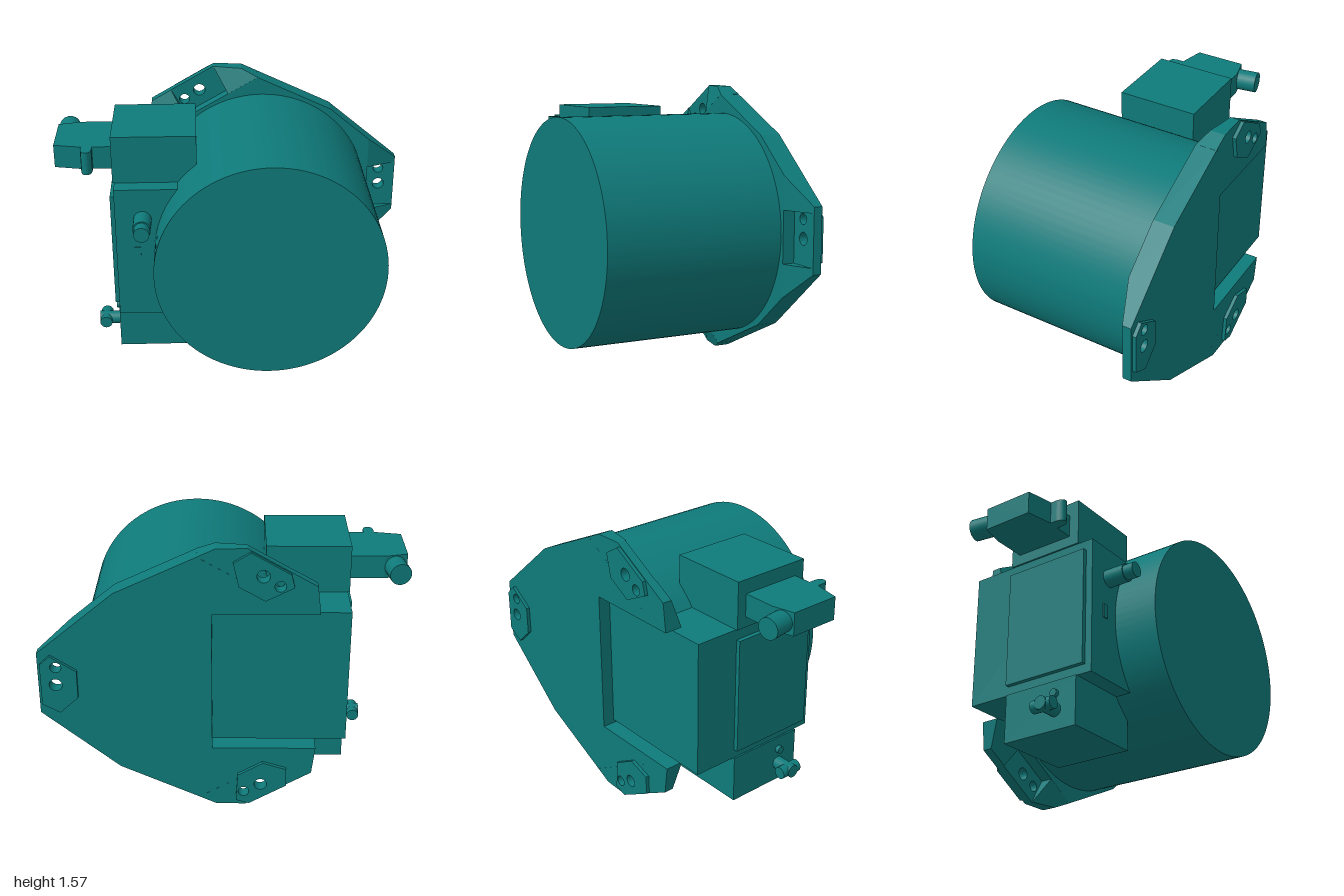
import * as THREE from 'three';

const AXIS = new THREE.Vector2(0.17, 0.79); // centre line of the drum
const BACK = -0.56, FRONT = -0.44;          // mounting plate faces
const CREASE = 0.65;                        // radius at which the lugs begin to slope

export function createModel() {
  const group = new THREE.Group();
  const material = new THREE.MeshStandardMaterial({ color: 0x0f7a7a });

  const add = (name, geometry, parent = group) => {
    const mesh = new THREE.Mesh(geometry, material);
    mesh.name = name;
    parent.add(mesh);
    return mesh;
  };
  // Box given by its limits
  const box = (name, x0, x1, y0, y1, z0, z1) =>
    add(name, new THREE.BoxGeometry(x1 - x0, y1 - y0, z1 - z0))
      .position.set((x0 + x1) / 2, (y0 + y1) / 2, (z0 + z1) / 2);
  // Cylinder between two points
  const rod = (name, a, b, radius, sides = 24) => {
    const from = new THREE.Vector3(...a), to = new THREE.Vector3(...b);
    const dir = to.clone().sub(from);
    const mesh = add(name, new THREE.CylinderGeometry(radius, radius, dir.length(), sides));
    mesh.position.copy(from).add(to).multiplyScalar(0.5);
    mesh.quaternion.setFromUnitVectors(new THREE.Vector3(0, 1, 0), dir.normalize());
  };
  // Flat slab from an outline, with optional round holes [x, y, radius]
  const slab = (points, z0, z1, holes = []) => {
    const shape = new THREE.Shape(points.map(([x, y]) => new THREE.Vector2(x, y)));
    for (const [x, y, r] of holes) {
      shape.holes.push(new THREE.Path().absarc(x, y, r, 0, Math.PI * 2, true));
    }
    return new THREE.ExtrudeGeometry(shape, { depth: z1 - z0, bevelEnabled: false, curveSegments: 12 })
      .translate(0, 0, z0);
  };
  // Slab whose front face falls away beyond the crease
  const slopedSlab = (points) => {
    const geometry = slab(points, BACK, FRONT);
    const p = geometry.attributes.position;
    for (let i = 0; i < p.count; i++) {
      if (p.getZ(i) > -0.5) p.setZ(i, FRONT - 0.39 * (p.getX(i) - CREASE));
    }
    geometry.computeVertexNormals();
    return geometry;
  };

  // Main drum
  rod('drum', [AXIS.x, AXIS.y, -0.45], [AXIS.x, AXIS.y, 0.575], 0.63, 96);

  // Mounting plate, notched on one side, symmetric about the drum's height
  const upper = [[0.82, 1.12], [0.58, 1.32], [0.144, 1.525], [-0.42, 1.2], [0.07, 1.2]];
  const lower = upper.map(([x, y]) => [x, 2 * AXIS.y - y]).reverse();
  add('mountingPlate', slab([...upper, ...lower], BACK, FRONT));

  // Three lugs with a recessed pocket, bolt hole and dowel hole
  const holes = [[0.735, 0, 0.035], [0.73, 0.105, 0.03]];
  const sideWing = [[CREASE, 0.145], [0.83, 0.145], [0.83, 0.18], [CREASE, 0.33]];
  const tipWing = [[CREASE, 0.145], [0.82, 0.145], [0.82, 0.278], [0.69, 0.375], [CREASE, 0.306]];
  const topWing = [[CREASE, 0.145], [0.82, 0.145], [0.735, 0.286], [CREASE, 0.345]];
  const flip = (points) => points.map(([x, y]) => [x, -y]);
  const lugs = [
    ['sideLug', 0, 0.83, sideWing, sideWing],
    ['upperLug', 1, 0.82, tipWing, topWing],
    ['lowerLug', -1, 0.82, topWing, tipWing],
  ];
  for (const [name, turn, end, wingA, wingB] of lugs) {
    const lug = new THREE.Group();
    lug.name = name;
    lug.position.set(AXIS.x, AXIS.y, 0);
    lug.rotation.z = turn * Math.PI * 2 / 3;
    group.add(lug);
    add('lugWingA', slopedSlab(wingA), lug);
    add('lugWingB', slopedSlab(flip(wingB)), lug);
    add('pocketFloor', slab([[CREASE, -0.145], [end, -0.145], [end, 0.145], [CREASE, 0.145]], BACK, -0.51, holes), lug);
    add('contactPad', slab([[0.62, -0.08], [0.72, -0.172], [0.815, -0.12], [0.815, 0.12],
      [0.76, 0.172], [0.62, 0.08]], -0.58, BACK, holes), lug);
  }

  // Housing on the side of the drum
  box('sideHousing', -0.67, 0.07, 0.4, 1.18, -0.49, 0.32);
  box('sideCover', -0.695, -0.66, 0.45, 1.12, -0.23, 0.28);
  box('upperBox', -0.68, -0.22, 1.18, 1.45, -0.235, 0.23);
  box('lowerBox', -0.68, -0.22, 0.125, 0.4, -0.235, 0.23);

  // Front fitting and small tab
  rod('frontFittingNeck', [-0.52, 1, 0.3], [-0.52, 1, 0.44], 0.05);
  rod('frontFittingTip', [-0.52, 1, 0.44], [-0.52, 1, 0.5], 0.043);
  box('frontTab', -0.57, -0.535, 0.75, 0.83, 0.31, 0.325);

  // Side connector: tapered block, rounded latch and slanted cable outlet
  const flat = (points) => slab(points, 1.24, 1.37).rotateX(Math.PI / 2).translate(0, 2.61, 0);
  add('connectorBlock', flat([[-0.67, -0.18], [-0.67, 0.17], [-0.85, 0.17],
    [-0.995, 0.14], [-0.995, -0.15], [-0.87, -0.18]]));
  const latch = [[-0.785, 0.15], [-0.785, 0.21]];
  for (let i = 0; i <= 8; i++) {
    const a = i * Math.PI / 8;
    latch.push([-0.815 + 0.027 * Math.cos(a), 0.222 + 0.027 * Math.sin(a)]);
  }
  latch.push([-0.845, 0.21], [-0.845, 0.15]);
  add('connectorLatch', flat(latch));
  rod('cableOutlet', [-0.92, 1.305, -0.12], [-0.945, 1.305, -0.28], 0.06);

  // Pins on the lower box
  rod('lowerPin', [-0.67, 0.235, 0.1], [-0.805, 0.235, 0.1], 0.037);
  rod('lowerCrossPin', [-0.768, 0.235, 0.03], [-0.768, 0.235, 0.16], 0.035);
  rod('smallPin', [-0.67, 0.325, 0.1], [-0.703, 0.325, 0.1], 0.022, 16);

  return group;
}
